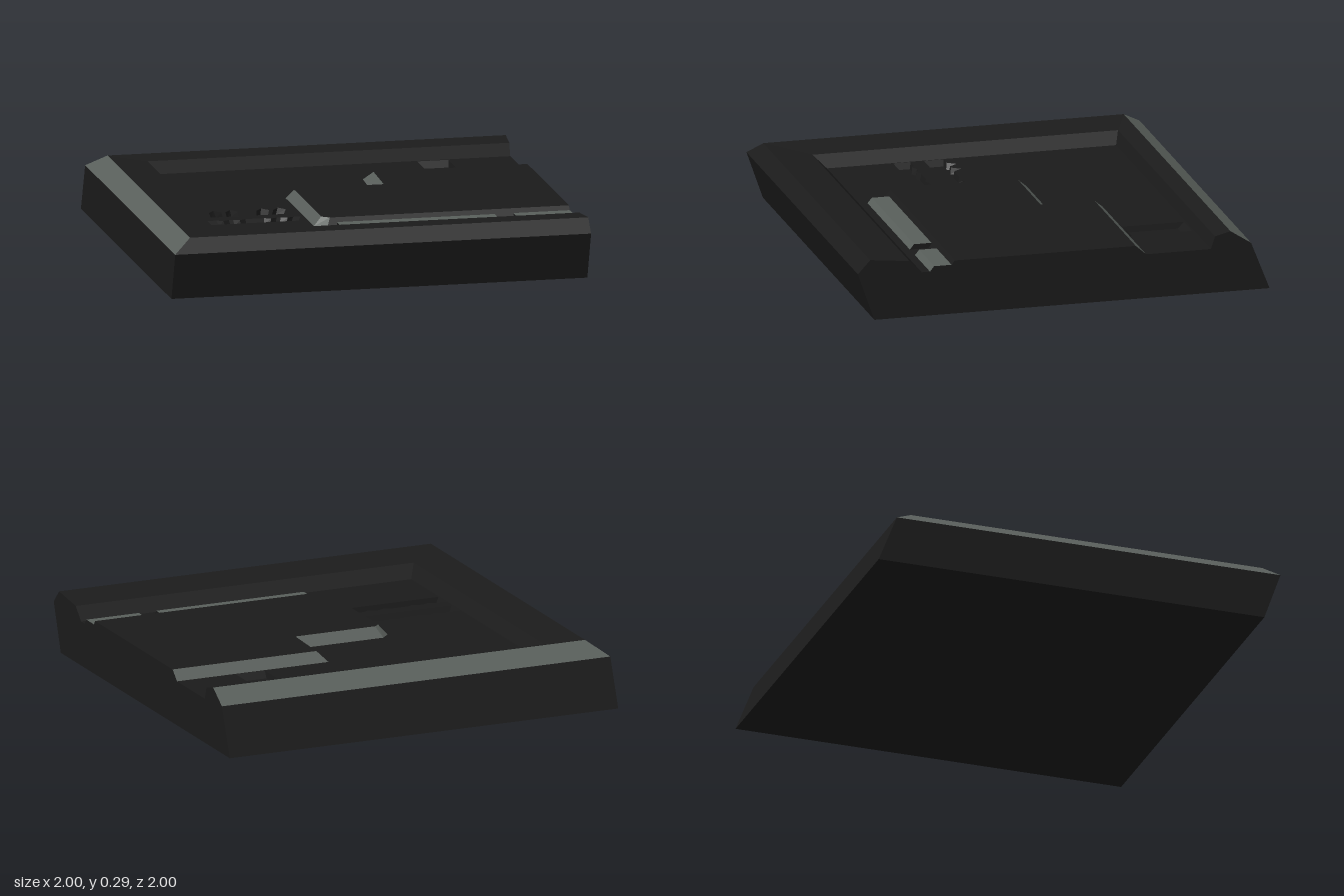
import * as THREE from 'three';

const dark = new THREE.MeshStandardMaterial({ color: 0x1b1b1b });
dark.name = 'charcoal';
const grey = new THREE.MeshStandardMaterial({ color: 0x595f5b });
grey.name = 'worn grey edge';

const FLOOR = 0.215;

function add(parent, name, geometry, material) {
  const mesh = new THREE.Mesh(geometry, material);
  mesh.name = name;
  parent.add(mesh);
  return mesh;
}

// Flat quads a, b, c, d listed counter-clockwise from outside.
function quads(list) {
  const pos = [];
  for (const [a, b, c, d] of list) pos.push(...a, ...b, ...c, ...a, ...c, ...d);
  const g = new THREE.BufferGeometry();
  g.setAttribute('position', new THREE.Float32BufferAttribute(pos, 3));
  g.computeVertexNormals();
  return g;
}

// Quads joining two paths, one per edge.
function strip(lower, upper) {
  return lower.slice(1).map((p, i) => [lower[i], p, upper[i + 1], upper[i]]);
}

// Points [x, z] lifted to height y.
const at = (pts, y) => pts.map(([x, z]) => [x, y, z]);

// Horizontal sheet facing up, with optional holes.
function sheet(pts, y, holes = []) {
  const flat = (list) => list.map(([x, z]) => new THREE.Vector2(x, -z));
  const shape = new THREE.Shape(flat(pts));
  shape.holes = holes.map((h) => new THREE.Path(flat(h)));
  return new THREE.ShapeGeometry(shape).rotateX(-Math.PI / 2).translate(0, y, 0);
}

// A profile of [z, y] points as a shape that looks along x.
const sideShape = (pts) => new THREE.Shape(pts.map(([z, y]) => new THREE.Vector2(-z, y)));

const endFace = (pts) =>
  new THREE.ShapeGeometry(sideShape(pts)).rotateY(Math.PI / 2).translate(1, 0, 0);

const prismX = (pts, x0, x1) =>
  new THREE.ExtrudeGeometry(sideShape(pts), { depth: x1 - x0, bevelEnabled: false })
    .rotateY(Math.PI / 2).translate(x0, 0, 0);

// Trench outline with triangular teeth along its back edge.
function trenchOutline(x0, x1, z0, z1, teeth, height) {
  const pts = [[x1, z0]];
  for (const x of teeth) pts.push([x + 0.03, z0], [x, z0 - height], [x - 0.03, z0]);
  return [...pts, [x0, z0], [x0, z1], [x1, z1]];
}

function makeTray() {
  const tray = new THREE.Group();
  tray.name = 'tray';
  // Each ring: left x, back z, front z, height; all open towards +x.
  const rings = [
    [-1, -1, 0.92, 0],
    [-1, -0.91, 1, 0.23],
    [-0.915, -0.81, 0.94, 0.295],
    [-0.74, -0.735, 0.75, 0.275],
    [-0.70, -0.715, 0.69, FLOOR],
  ];
  const paths = rings.map(([x, b, f, y]) => [[1, y, b], [x, y, b], [x, y, f], [1, y, f]]);
  const names = ['outerWalls', 'outerBevel', 'rimTop', 'innerWalls'];
  names.forEach((name, i) => {
    const faces = strip(paths[i], paths[i + 1]);
    if (i === 1) {
      add(tray, 'wornRimBevel', quads(faces.slice(0, 2)), grey);
      add(tray, 'frontRimBevel', quads(faces.slice(2)), dark);
    } else add(tray, name, quads(faces), dark);
  });
  add(tray, 'underside', quads([[...paths[0]].reverse()]), dark);
  add(tray, 'openEnd', endFace([
    ...rings.map(([, b, , y]) => [b, y]),
    ...rings.map(([, , f, y]) => [f, y]).reverse(),
  ]), dark);

  // Floor with shallow cable trenches
  const teeth = [-0.30, -0.38, -0.53, -0.61];
  const trenches = [
    trenchOutline(0.55, 0.70, -0.705, -0.405, [], 0),
    trenchOutline(-0.695, -0.235, 0.125, 0.22, teeth, 0.04),
    trenchOutline(-0.695, -0.235, 0.285, 0.37, teeth, -0.015),
  ];
  add(tray, 'floor', sheet(paths[4].map(([x, , z]) => [x, z]), FLOOR, trenches), dark);
  for (const outline of trenches) {
    const xs = outline.map((p) => p[0]), zs = outline.map((p) => p[1]);
    const midX = (Math.min(...xs) + Math.max(...xs)) / 2;
    const midZ = (Math.min(...zs) + Math.max(...zs)) / 2;
    const base = outline.map(([x, z]) => [midX + (x - midX) * 0.93, midZ + (z - midZ) * 0.8]);
    const close = (pts) => [...pts, pts[0]];
    add(tray, 'trenchWalls',
      quads(strip(close(at(outline, FLOOR)), close(at(base, FLOOR - 0.03)))), dark);
    add(tray, 'trenchBottom', sheet(base, FLOOR - 0.03), dark);
  }
  return tray;
}

function makePlatform() {
  const platform = new THREE.Group();
  platform.name = 'platform';
  // Stepped outlines in x, z, from back right round to front right.
  const top = [[1, -0.35], [0.26, -0.35], [0.25, -0.09], [-0.16, -0.09], [-0.185, -0.07],
    [-0.185, 0.50], [-0.15, 0.53], [1, 0.53]];
  const edge = [[1, -0.40], [0.22, -0.40], [0.205, -0.14], [-0.18, -0.14], [-0.22, -0.10],
    [-0.22, 0.50], [-0.17, 0.56], [1, 0.56]];
  const bevel = strip(at(edge, FLOOR), at(top, 0.26));
  add(platform, 'platformBevel', quads(bevel.slice(0, -1)), grey);
  add(platform, 'platformFrontBevel', quads(bevel.slice(-1)), dark);
  add(platform, 'platformTop', sheet(top, 0.26), dark);
  add(platform, 'platformEnd',
    endFace([[-0.40, FLOOR], [-0.35, 0.26], [0.53, 0.26], [0.56, FLOOR]]), dark);

  // Bar along the platform front, broken by a gap, with dark ends
  const bar = [[0.545, FLOOR], [0.65, FLOOR], [0.63, 0.24], [0.545, 0.24]];
  for (const [x0, x1] of [[-0.12, 0.64], [0.73, 1]])
    add(platform, 'frontBar', prismX(bar, x0, x1), [dark, grey]);
  return platform;
}

export function createModel() {
  const model = new THREE.Group();
  model.name = 'floorPanel';
  model.add(makeTray(), makePlatform());
  return model;
}
